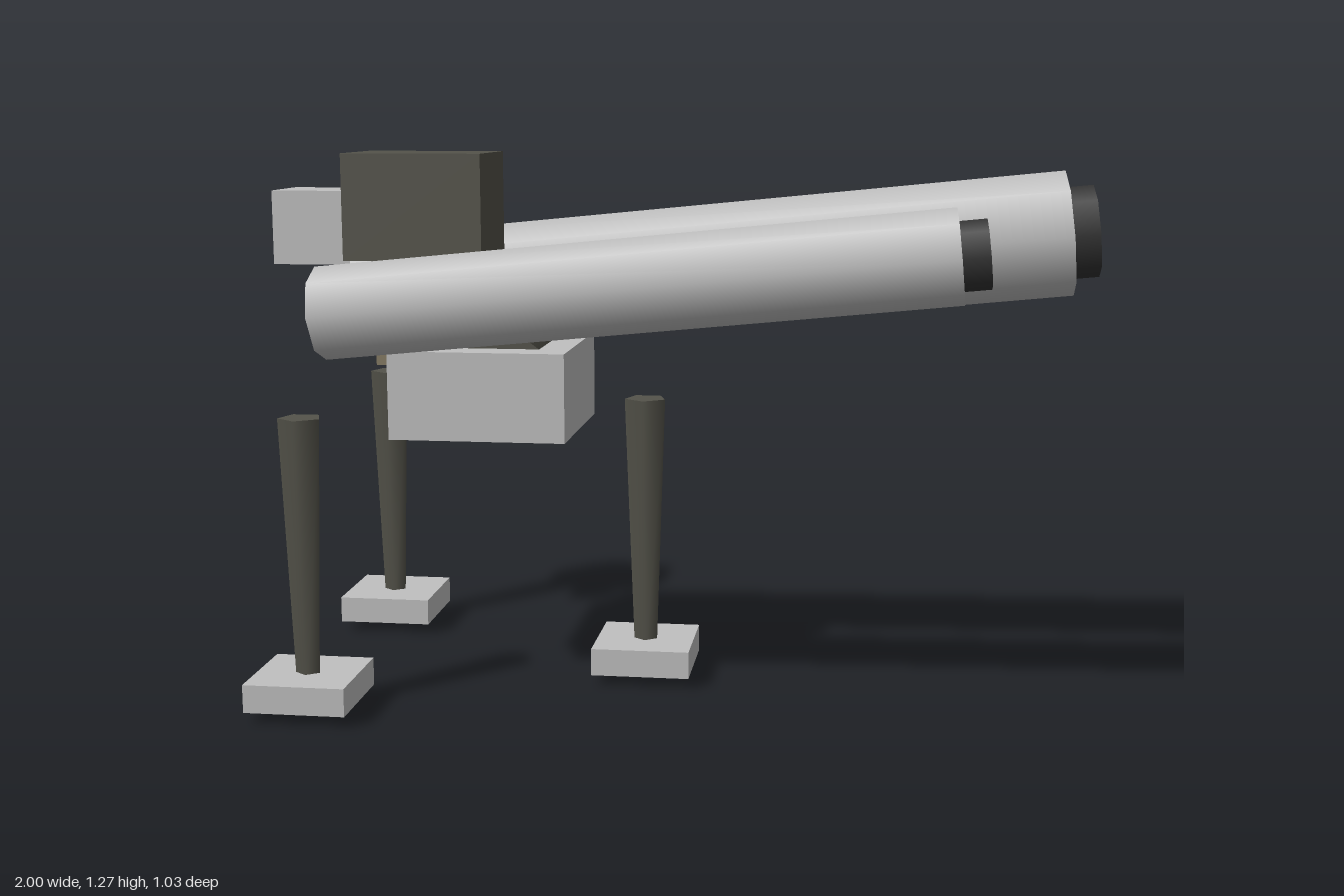
import * as THREE from 'three';

const mat = (name, color) => {
  const m = new THREE.MeshStandardMaterial({ color });
  m.name = name;
  return m;
};

export function createModel() {
  const model = new THREE.Group();
  model.name = 'twinTubeStation';
  const paleGrey = mat('paleGrey', 0xc0c0c0);
  const olive = mat('darkOlive', 0x54534a);
  const black = mat('lensBlack', 0x333333);
  const brown = mat('brown', 0x857a62);

  const add = (name, geometry, material, x, y, z, parent = model) => {
    const mesh = new THREE.Mesh(geometry, material);
    mesh.name = name;
    mesh.position.set(x, y, z);
    parent.add(mesh);
    return mesh;
  };
  const box = (name, material, size, pos, parent) =>
    add(name, new THREE.BoxGeometry(...size), material, ...pos, parent);

  // Three tapered legs, each through a square foot pad
  for (const [x, z] of [[-0.78, 0.4], [-0.78, -0.33], [-0.05, 0.035]]) {
    const leg = new THREE.Group();
    leg.name = 'leg';
    leg.position.set(x, 0, z);
    model.add(leg);
    add('legPost', new THREE.CylinderGeometry(0.051, 0.026, 0.68, 5), olive, 0, 0.34, 0, leg);
    box('footPad', paleGrey, [0.234, 0.065, 0.234], [0, 0.057, 0], leg);
  }

  // Mount block and the pivot carrying the main tube
  box('mountBlock', paleGrey, [0.415, 0.207, 0.415], [-0.417, 0.707, 0.033]);
  const pivot = add('pivot', new THREE.CylinderGeometry(0.13, 0.13, 0.26, 5), olive, -0.405, 0.77, 0.034);
  pivot.rotation.x = -Math.PI / 2;

  // Tilted tubes: the group origin is the rear end, with the axis along local x
  const tube = (name, z, radius, length, lensRadius) => {
    const group = new THREE.Group();
    group.name = name;
    group.position.set(-0.726, 0.915, z);
    group.rotation.z = 0.1;
    model.add(group);
    const along = (part, r, from, to, material) => {
      const geometry = new THREE.CylinderGeometry(r, r, to - from, 8).rotateZ(-Math.PI / 2);
      add(part, geometry, material, (from + to) / 2, 0, 0, group);
    };
    along('tubeBody', radius, 0, length, paleGrey);
    along('lens', lensRadius, length - 0.02, length + 0.06, black);
  };
  tube('mainTube', 0.034, 0.143, 1.661, 0.105);
  tube('sideTube', 0.398, 0.104, 1.404, 0.075);

  // Boxes and bar at the rear
  box('controlBox', olive, [0.312, 0.235, 0.233], [-0.519, 1.148, 0.268]);
  box('eyepieceBox', paleGrey, [0.233, 0.182, 0.182], [-0.884, 1.07, -0.176]);
  box('handleBar', brown, [0.076, 0.077, 0.358], [-0.728, 0.758, -0.336]);

  return model;
}
